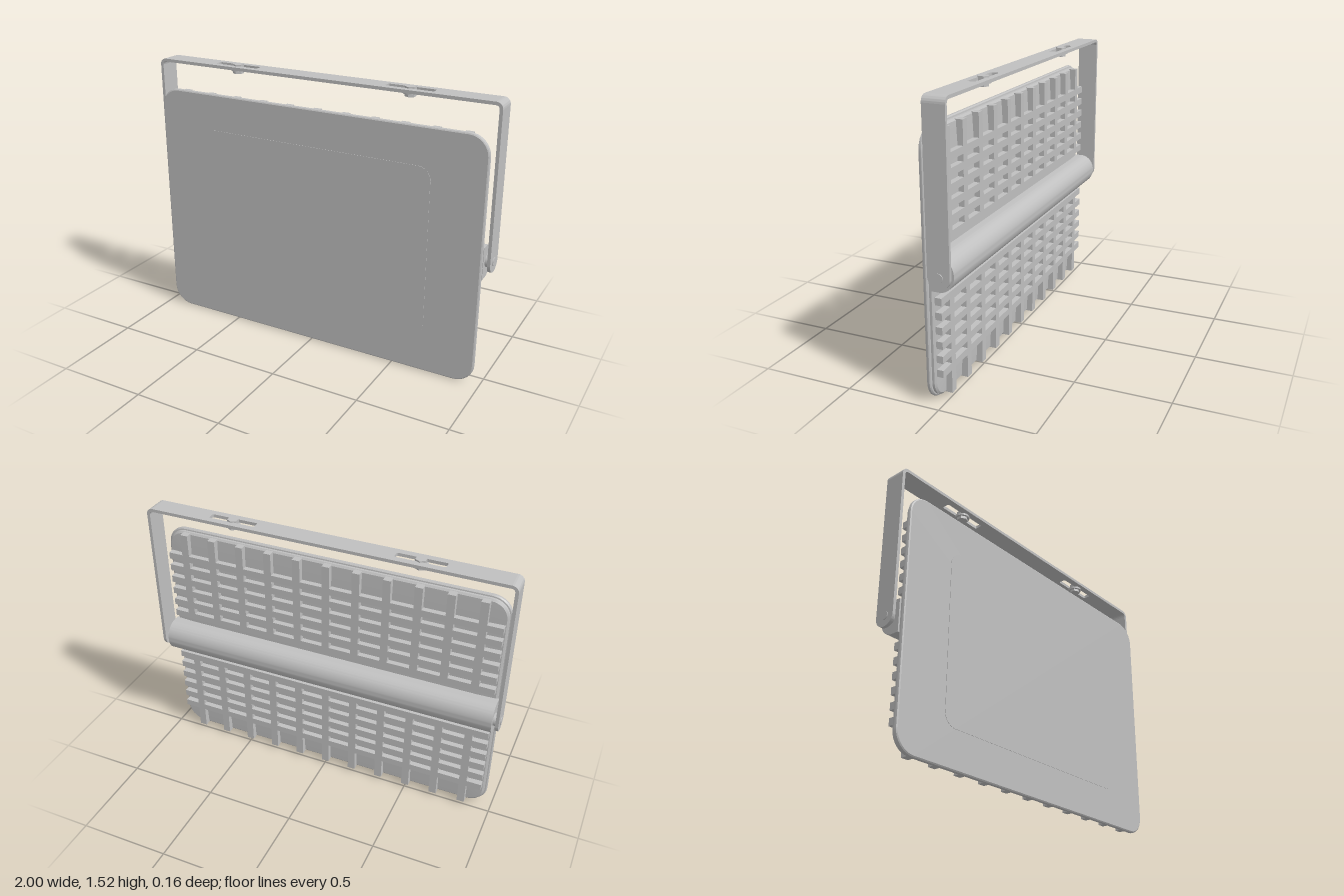
import * as THREE from 'three';
import { toCreasedNormals } from 'three/addons/utils/BufferGeometryUtils.js';

const W = 0.965, H = 1.355, MID = H / 2;      // housing half width, height, mid height
const PZ = -0.02, PR = 0.0575, T = 0.017;     // bracket centre z, half depth, thickness
const TOP = 1.508, BEND = 0.035;              // bracket top and bend radius

// Outline of a rounded rectangle centred on the origin
function roundedRect(hw, hh, r, n = 8) {
  const pts = [];
  [[1, 1], [-1, 1], [-1, -1], [1, -1]].forEach(([sx, sy], q) => {
    for (let i = 0; i <= n; i++) {
      const a = (q + i / n) * Math.PI / 2;
      pts.push(new THREE.Vector2(sx * (hw - r) + r * Math.cos(a), sy * (hh - r) + r * Math.sin(a)));
    }
  });
  return pts;
}

// Closed solid lofted through rounded rectangles; rings are [inset, z] from front to back
function loft(hw, hh, r, rings) {
  const pos = [], idx = [];
  let n = 0;
  rings.forEach(([inset, z]) => {
    const pts = roundedRect(hw - inset, hh - inset, Math.max(r - inset, 0.02));
    n = pts.length;
    pts.forEach(p => pos.push(p.x, p.y, z));
  });
  for (let k = 0; k < rings.length - 1; k++) for (let i = 0; i < n; i++) {
    const a = k * n + i, b = k * n + (i + 1) % n;
    idx.push(a, a + n, b, b, a + n, b + n);
  }
  const last = rings.length - 1, c = rings.length * n;
  pos.push(0, 0, rings[0][1], 0, 0, rings[last][1]);
  for (let i = 0; i < n; i++) {
    const j = (i + 1) % n;
    idx.push(c, i, j, c + 1, last * n + j, last * n + i);
  }
  const g = new THREE.BufferGeometry();
  g.setAttribute('position', new THREE.Float32BufferAttribute(pos, 3));
  g.setIndex(idx);
  return toCreasedNormals(g, 0.5);
}

function extrude(shape, depth) {
  const g = new THREE.ExtrudeGeometry(shape, { depth, bevelEnabled: false, curveSegments: 16 });
  g.translate(0, 0, -depth / 2);
  return toCreasedNormals(g, 0.5);
}

export function createModel() {
  const root = new THREE.Group();
  const metal = new THREE.MeshStandardMaterial({ color: 0xc0c0c0 });
  metal.name = 'grey metal';

  function add(name, geometry, x = 0, y = 0, z = 0, parent = root) {
    const m = new THREE.Mesh(geometry, metal);
    m.name = name;
    m.position.set(x, y, z);
    parent.add(m);
    return m;
  }
  function group(name) {
    const g = new THREE.Group();
    g.name = name;
    root.add(g);
    return g;
  }

  // Front cover, raised window and back shell
  add('frontCover', loft(W, MID, 0.11, [[0.008, 0.081], [0.002, 0.077], [0, 0.071], [0, 0.063], [0.005, 0.057], [0.014, 0.055]]), 0, MID);
  add('frontWindow', loft(0.675, 0.4725, 0.07, [[0, 0.083], [0, 0.079]]), 0, 0.6775);
  add('backShell', loft(W, MID, 0.11, [[0.012, 0.057], [0.012, 0.043], [0.022, 0.035], [0.12, 0.03]]), 0, MID);

  // Cooling grid on the back, mirrored above and below the centre
  const grid = group('coolingRibs');
  for (const s of [-1, 1]) {
    for (let i = -5; i <= 5; i++) {
      add('verticalRib', new THREE.BoxGeometry(0.042, 0.535, 0.042), i * 0.167, MID + s * 0.395, 0.021, grid);
    }
    for (let i = 0; i < 6; i++) {
      add('horizontalRib', new THREE.BoxGeometry(1.88, 0.038, 0.042), 0, MID + s * (0.1465 + i * 0.0745), 0.021, grid);
    }
  }

  // Rounded driver housing across the back
  const arch = new THREE.Shape();
  arch.moveTo(-0.04, -0.088);
  arch.lineTo(0.005, -0.088);
  arch.bezierCurveTo(0.045, -0.085, 0.08, -0.05, 0.08, 0);
  arch.bezierCurveTo(0.08, 0.05, 0.045, 0.085, 0.005, 0.088);
  arch.lineTo(-0.04, 0.088);
  arch.closePath();
  add('driverHousing', extrude(arch, 1.92).rotateY(Math.PI / 2), 0, MID, 0);

  // Bracket top plate with two slots
  const bracket = group('bracket');
  const span = 0.996 - BEND;
  const plate = new THREE.Shape([[-span, -PR], [span, -PR], [span, PR], [-span, PR]].map(p => new THREE.Vector2(...p)));
  for (const s of [-1, 1]) {
    const slot = roundedRect(0.13, 0.021, 0.008, 4).map(p => p.add(new THREE.Vector2(s * 0.508, 0)));
    plate.holes.push(new THREE.Path(slot.reverse()));
  }
  add('bracketTop', extrude(plate, T).rotateX(-Math.PI / 2), 0, TOP - T / 2, PZ, bracket);

  // Bracket arms with round feet, and bent corners
  const arm = new THREE.Shape();
  arm.moveTo(PR, 0);
  arm.lineTo(PR, TOP - BEND - MID);
  arm.lineTo(-PR, TOP - BEND - MID);
  arm.lineTo(-PR, 0);
  arm.absarc(0, 0, PR, Math.PI, Math.PI * 2, false);
  const bend = new THREE.Shape();
  bend.absarc(0, 0, BEND, 0, Math.PI / 2, false);
  bend.absarc(0, 0, BEND - T, Math.PI / 2, 0, true);
  bend.closePath();

  for (const s of [-1, 1]) {
    add('bracketArm', extrude(arm, T).rotateY(Math.PI / 2), s * (0.996 - T / 2), MID, PZ, bracket);
    const corner = add('bracketCorner', extrude(bend, PR * 2), s * span, TOP - BEND, PZ, bracket);
    if (s < 0) corner.rotation.y = Math.PI;

    // Pivot bolt and spacer
    add('pivotSpacer', new THREE.CylinderGeometry(0.035, 0.035, 0.03, 24).rotateZ(Math.PI / 2), s * 0.968, MID, PZ, bracket);
    add('pivotBolt', new THREE.CylinderGeometry(0.023, 0.023, 0.03, 24).rotateZ(Math.PI / 2), s * 0.985, MID, PZ, bracket);

    // Mounting bolt through each slot
    const bolt = group('mountingBolt');
    bolt.position.set(s * 0.508, 0, PZ);
    add('boltHead', toCreasedNormals(new THREE.CylinderGeometry(0.03, 0.03, 0.035, 6), 0.5), 0, 1.498, 0, bolt);
    add('washer', new THREE.CylinderGeometry(0.038, 0.038, 0.013, 24), 0, 1.486, 0, bolt);
    add('nut', toCreasedNormals(new THREE.CylinderGeometry(0.03, 0.03, 0.018, 6), 0.5), 0, 1.474, 0, bolt);
  }
  return root;
}
